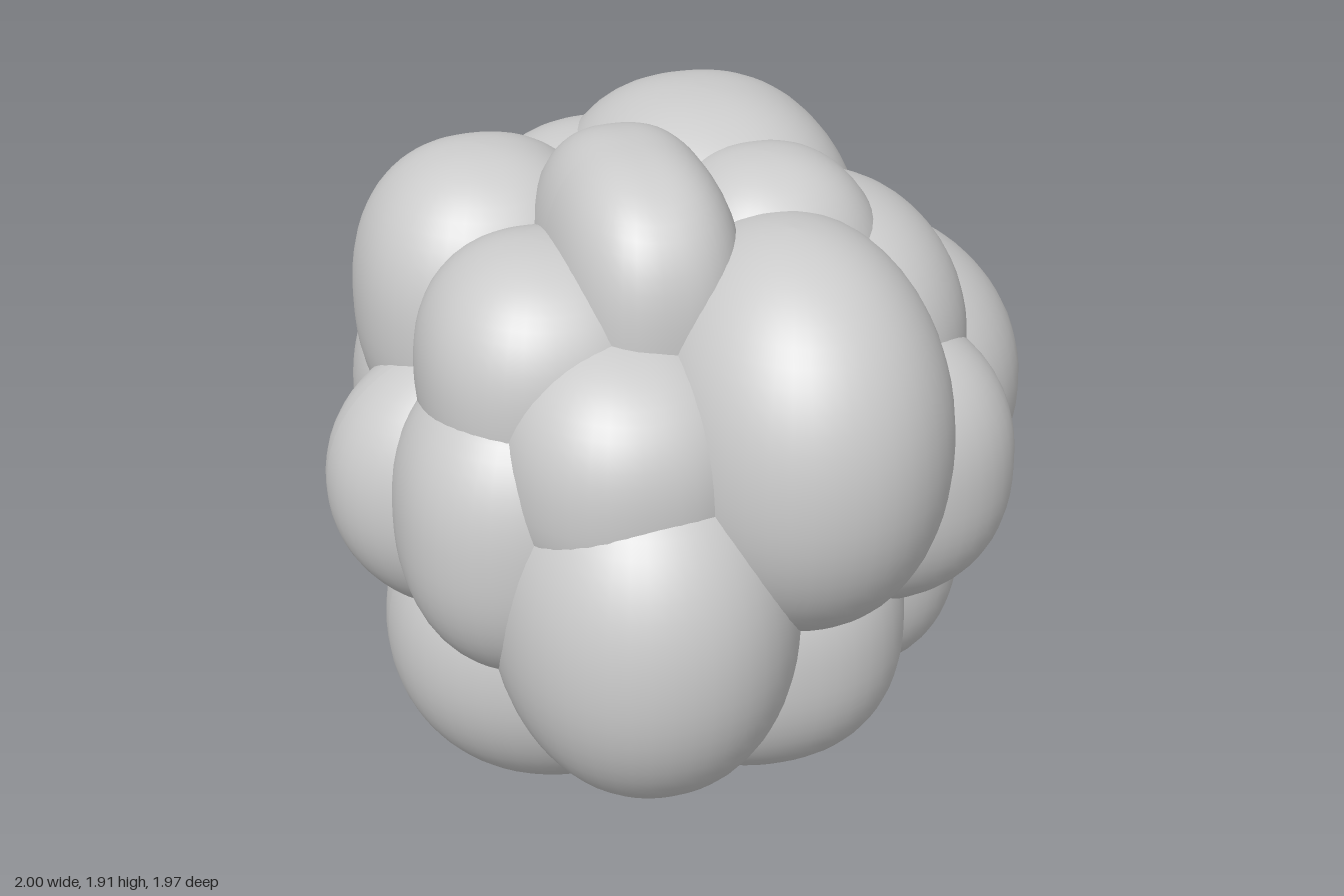
import * as THREE from 'three';

// Each lobe: name, centre [x, y, z], radii [x, y, z], optional fullness (2 = ellipsoid)
const LOBES = [
  ['core', [0, 0.97, 0], [0.65, 0.68, 0.64]],
  // front
  ['frontUpperLobe', [0.14, 1.22, 0.45], [0.4, 0.54, 0.52], 2.1],
  ['frontLowerLobe', [-0.27, 0.78, 0.5], [0.4, 0.52, 0.48], 2.1],
  ['frontMiddleLobe', [-0.3, 1.18, 0.42], [0.34, 0.36, 0.4]],
  // underside
  ['bottomRightLobe', [-0.37, 0.47, 0], [0.49, 0.47, 0.43], 2.1],
  ['bottomBackLobe', [0.06, 0.52, -0.3], [0.42, 0.42, 0.47]],
  ['bottomFrontLobe', [0.1, 0.57, 0.28], [0.4, 0.42, 0.42]],
  ['bottomLeftLobe', [0.4, 0.64, 0.12], [0.33, 0.38, 0.3]],
  // left side (+x)
  ['leftFrontLobe', [0.4, 1.02, 0.34], [0.38, 0.39, 0.34]],
  ['leftBackLobe', [0.5, 1.0, -0.2], [0.5, 0.45, 0.52], 2.1],
  ['leftUpperLobe', [0.33, 1.28, 0.06], [0.4, 0.42, 0.46], 2.1],
  // top
  ['topBackLobe', [0.12, 1.4, -0.28], [0.42, 0.46, 0.49]],
  ['topLeftLobe', [0.18, 1.42, 0.1], [0.32, 0.4, 0.32]],
  ['topPeakLobe', [-0.19, 1.5, 0.16], [0.25, 0.41, 0.41], 2.6],
  ['topRightLobe', [-0.5, 1.36, -0.22], [0.36, 0.43, 0.36]],
  ['topRightFrontLobe', [-0.45, 1.34, 0.22], [0.33, 0.36, 0.35]],
  // right side (-x)
  ['rightFrontLobe', [-0.5, 0.98, 0.3], [0.37, 0.43, 0.36]],
  ['rightLobe', [-0.55, 0.95, 0], [0.45, 0.4, 0.32], 2.1],
  // back
  ['backLobe', [0.13, 0.97, -0.52], [0.42, 0.44, 0.47], 2.5],
  ['backRightLobe', [-0.25, 1.02, -0.47], [0.42, 0.42, 0.44]],
  ['backUpperLobe', [-0.12, 1.34, -0.42], [0.38, 0.38, 0.37]],
  ['backOuterLobe', [-0.52, 1.02, -0.33], [0.34, 0.4, 0.35]],
  ['backLowerLobe', [-0.36, 0.65, -0.36], [0.4, 0.4, 0.39]],
];

// Sphere swollen towards its diagonals, then scaled to the lobe's radii
function lobeGeometry(radii, power) {
  const geometry = new THREE.SphereGeometry(1, 48, 32);
  const position = geometry.attributes.position;
  const p = new THREE.Vector3();
  for (let i = 0; i < position.count; i++) {
    p.fromBufferAttribute(position, i);
    const sum = p.toArray().reduce((s, c) => s + Math.abs(c) ** power, 0);
    p.multiplyScalar(sum ** (-1 / power));
    position.setXYZ(i, p.x * radii[0], p.y * radii[1], p.z * radii[2]);
  }
  geometry.computeVertexNormals();
  return geometry;
}

export function createModel() {
  const group = new THREE.Group();
  group.name = 'lobedCluster';
  const material = new THREE.MeshStandardMaterial({ color: 0xcccccc });

  // Overlapping smooth lobes
  for (const [name, centre, radii, power = 2.3] of LOBES) {
    const lobe = new THREE.Mesh(lobeGeometry(radii, power), material);
    lobe.name = name;
    lobe.position.set(...centre);
    group.add(lobe);
  }
  return group;
}
